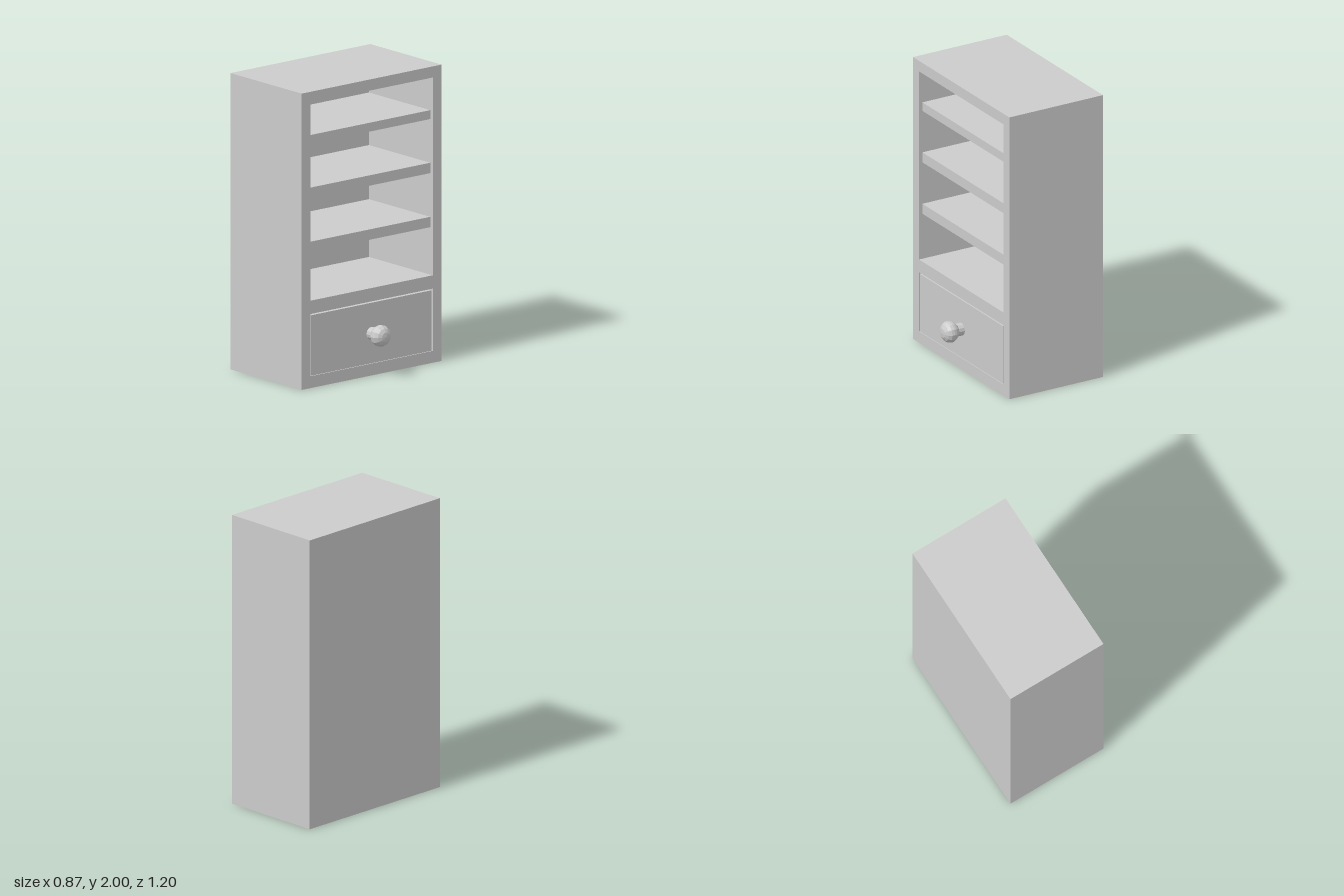
import * as THREE from 'three';

const material = new THREE.MeshStandardMaterial({ color: 0xcccccc, flatShading: true });
const FRONT = 0.285, BACK = -0.435, WALL = 0.075;
const INNER_BACK = BACK + WALL;

function add(parent, name, geometry) {
  const mesh = new THREE.Mesh(geometry, material);
  mesh.name = name;
  parent.add(mesh);
  return mesh;
}

// Box given by its extents along each axis
function box(parent, name, [x0, x1], [y0, y1], [z0, z1]) {
  const mesh = add(parent, name, new THREE.BoxGeometry(x1 - x0, y1 - y0, z1 - z0));
  mesh.position.set((x0 + x1) / 2, (y0 + y1) / 2, (z0 + z1) / 2);
  return mesh;
}

function trace(path, halfWidth, y0, y1) {
  path.moveTo(-halfWidth, y0);
  path.lineTo(halfWidth, y0);
  path.lineTo(halfWidth, y1);
  path.lineTo(-halfWidth, y1);
  path.closePath();
  return path;
}

export function createModel() {
  const model = new THREE.Group();
  model.name = 'bookcase';

  // Carcass: a frame with a shelf opening and a drawer opening, facing +x
  const outline = trace(new THREE.Shape(), 0.6, 0, 2);
  outline.holes.push(trace(new THREE.Path(), 0.525, 0.59, 1.925));
  outline.holes.push(trace(new THREE.Path(), 0.525, 0.08, 0.5));
  const frame = new THREE.ExtrudeGeometry(outline, { depth: FRONT - INNER_BACK, bevelEnabled: false });
  frame.rotateY(Math.PI / 2).translate(INNER_BACK, 0, 0);
  add(model, 'carcass', frame);
  box(model, 'backPanel', [BACK, INNER_BACK], [0, 2], [-0.6, 0.6]);

  // Shelves, set back slightly from the front edge
  for (const [y0, y1] of [[0.91, 0.98], [1.275, 1.345], [1.64, 1.7]]) {
    box(model, 'shelf', [INNER_BACK, 0.26], [y0, y1], [-0.525, 0.525]);
  }

  // Drawer: flush front with an open tray behind it
  const drawer = new THREE.Group();
  drawer.name = 'drawer';
  model.add(drawer);
  box(drawer, 'drawerFront', [0.235, FRONT - 0.002], [0.082, 0.49], [-0.518, 0.518]);
  box(drawer, 'drawerBottom', [-0.33, 0.235], [0.082, 0.12], [-0.518, 0.518]);
  box(drawer, 'drawerBack', [-0.33, -0.29], [0.12, 0.49], [-0.518, 0.518]);
  for (const s of [-1, 1]) {
    box(drawer, 'drawerSide', [-0.29, 0.235], [0.12, 0.49], [s * 0.498 - 0.02, s * 0.498 + 0.02]);
  }

  // Knob: short stem and rounded head, turned about the x axis
  const profile = [
    [0.043, 0], [0.043, 0.042], [0.058, 0.056], [0.07, 0.076], [0.073, 0.093],
    [0.07, 0.112], [0.056, 0.132], [0.032, 0.146], [0, 0.15],
  ].map(([r, h]) => new THREE.Vector2(r, h));
  const knob = add(drawer, 'knob', new THREE.LatheGeometry(profile, 12));
  knob.rotation.z = -Math.PI / 2;
  knob.position.set(FRONT - 0.002, 0.285, 0);

  return model;
}
